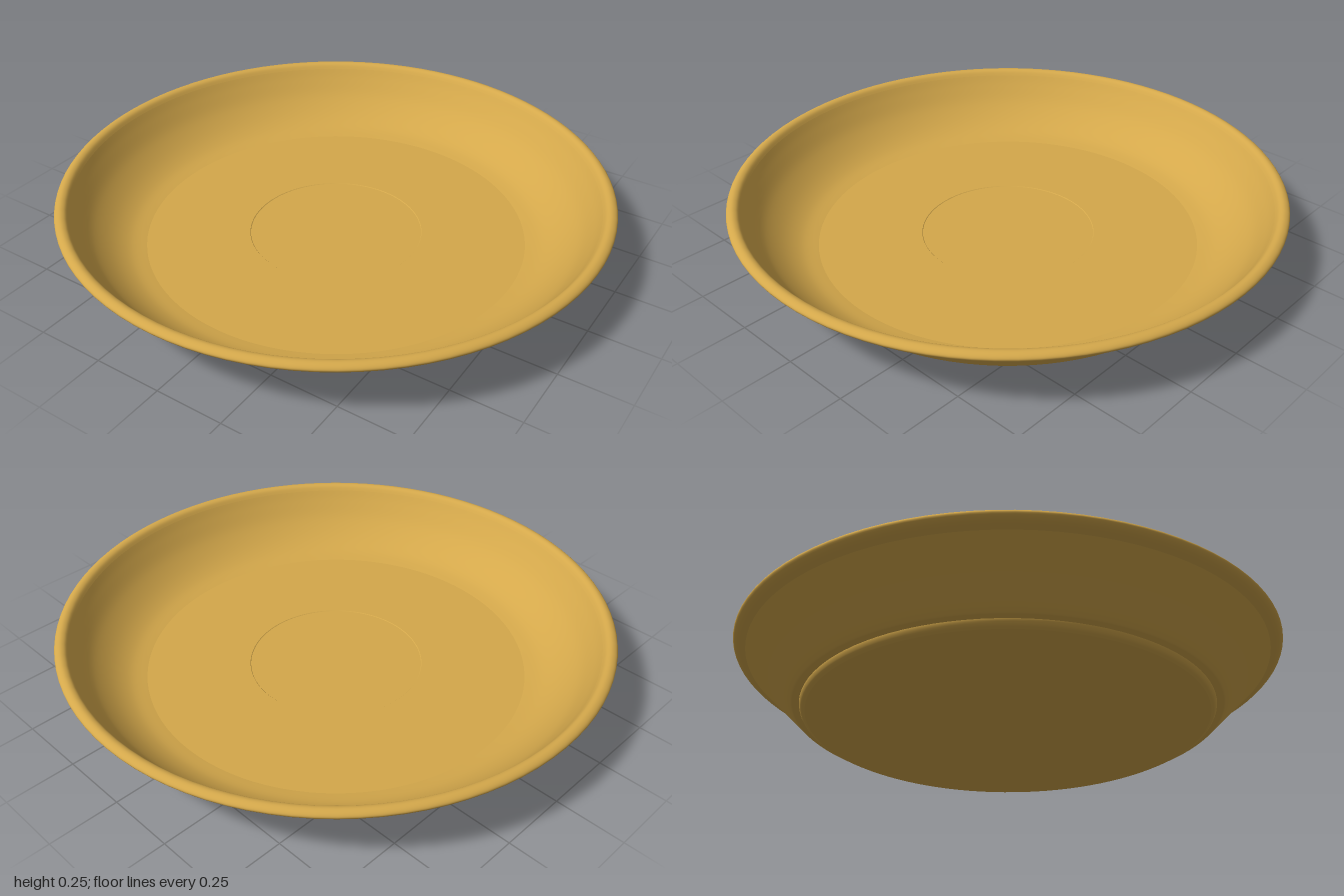
import * as THREE from 'three';

const SEGMENTS = 96;

export function createModel() {
  const model = new THREE.Group();
  model.name = 'saucer';
  const ochre = new THREE.MeshStandardMaterial({ color: 0xd4a84b });
  ochre.name = 'ochre glaze';

  // Each part is one smooth turned section; edges between parts stay sharp
  const turn = (name, points) => {
    const profile = points.map(([r, y]) => new THREE.Vector2(r, y));
    const mesh = new THREE.Mesh(new THREE.LatheGeometry(profile, SEGMENTS), ochre);
    mesh.name = name;
    model.add(mesh);
  };

  // Smooth profile through a few points
  const smooth = (points, n) =>
    new THREE.SplineCurve(points.map(([r, y]) => new THREE.Vector2(r, y)))
      .getPoints(n).map((p) => [p.x, p.y]);

  // Underside and foot
  turn('base', [[0, 0], [0.73, 0]]);
  turn('foot', smooth([[0.73, 0], [0.743, 0.007], [0.75, 0.018], [0.752, 0.025]], 8));
  turn('footShelf', [[0.752, 0.025], [0.775, 0.027]]);

  // Flared outer wall
  turn('outerWall', smooth([[0.775, 0.027], [0.79, 0.036], [0.87, 0.118], [0.955, 0.203]], 16));

  // Rolled rim
  turn('rim', smooth([[0.955, 0.203], [0.985, 0.216], [1, 0.232], [0.994, 0.244],
    [0.978, 0.25], [0.962, 0.245], [0.95, 0.23]], 24));

  // Curved inside of the bowl
  turn('innerWall', smooth([[0.95, 0.23], [0.925, 0.19], [0.88, 0.13], [0.82, 0.077],
    [0.76, 0.044], [0.7, 0.03]], 24));

  // Flat floor with a faint cup ring
  turn('floor', [[0.7, 0.03], [0.32, 0.03]]);
  turn('cupRing', [[0.32, 0.03], [0.318, 0.028]]);
  turn('cupWell', [[0.318, 0.028], [0, 0.028]]);

  return model;
}
